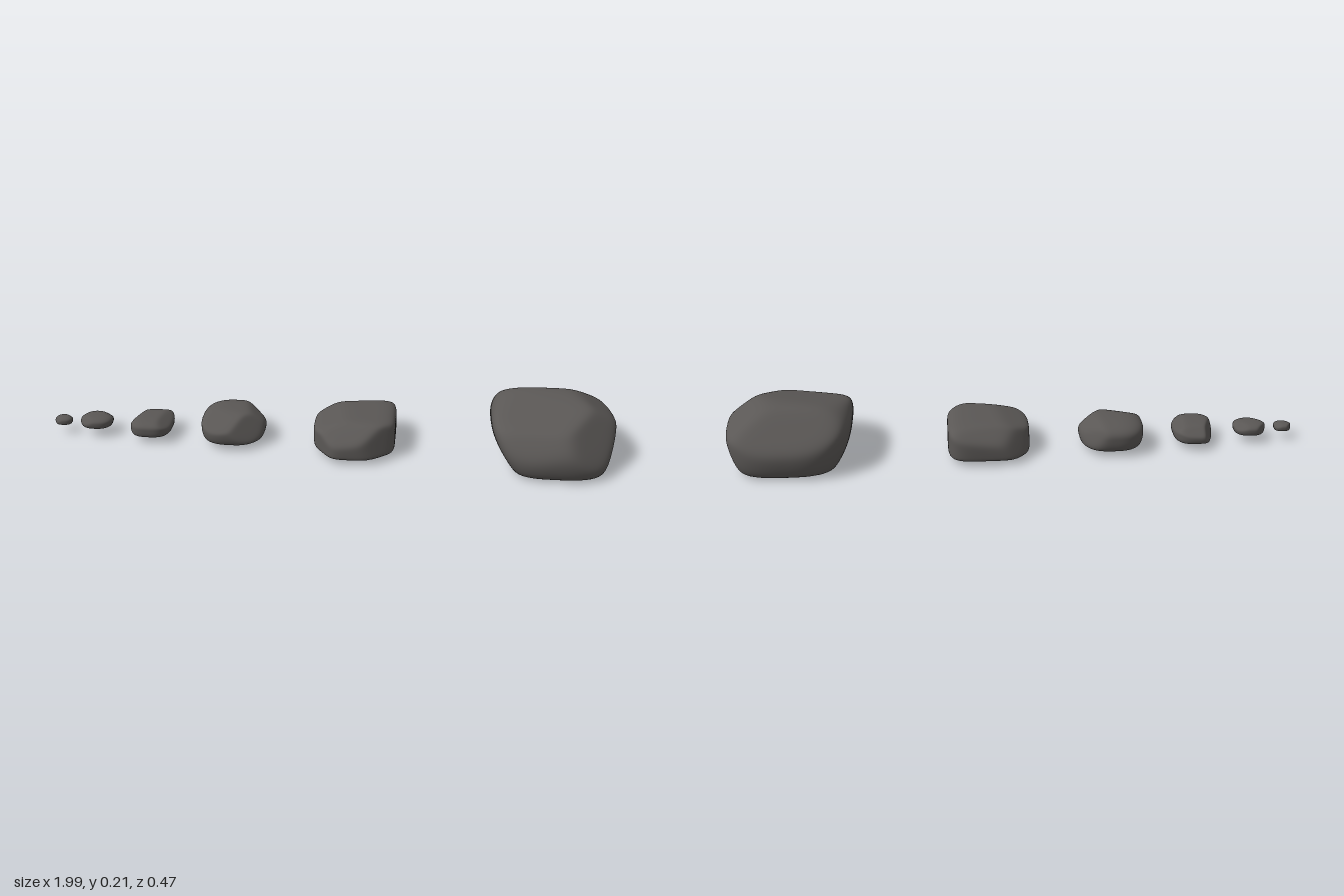
import * as THREE from 'three';
import { mergeVertices } from 'three/addons/utils/BufferGeometryUtils.js';

const SHARPNESS = 16; // higher gives tighter edges between facets
const UNDERCUT = 0.6; // how far the sides draw in towards the base

// Outward facet plane from azimuth (+x towards +z), elevation and distance
function facet([azimuth, elevation, distance]) {
  const a = THREE.MathUtils.degToRad(azimuth);
  const e = THREE.MathUtils.degToRad(elevation);
  return new THREE.Vector3(Math.cos(e) * Math.cos(a), Math.sin(e), Math.cos(e) * Math.sin(a))
    .divideScalar(distance);
}

// A rounded body with a flat base, worn down by softly blended cuts
// (cuts are measured in units of the half size)
function rockGeometry(halfSize, boxiness, cuts) {
  const planes = [[0, -90, 1], ...cuts].map(facet);
  const sphere = new THREE.IcosahedronGeometry(1, 22);
  sphere.deleteAttribute('uv');
  sphere.deleteAttribute('normal');
  const geometry = mergeVertices(sphere, 1e-5);
  const position = geometry.attributes.position;
  const v = new THREE.Vector3();
  for (let i = 0; i < position.count; i++) {
    v.fromBufferAttribute(position, i);
    const rise = v.y > 0 ? v.y : -v.y * UNDERCUT;
    const body = (Math.abs(v.x) ** boxiness + rise ** boxiness + Math.abs(v.z) ** boxiness) ** (1 / boxiness);
    let sum = body ** SHARPNESS;
    for (const plane of planes) sum += Math.max(0, v.dot(plane)) ** SHARPNESS;
    v.multiplyScalar(sum ** (-1 / SHARPNESS)).multiply(halfSize);
    position.setXYZ(i, v.x, v.y, v.z);
  }
  geometry.computeVertexNormals();
  return geometry;
}

export function createModel() {
  const group = new THREE.Group();
  group.name = 'rocks';
  const stone = new THREE.MeshStandardMaterial({ color: 0x5a5755 });
  stone.name = 'dark stone';

  function addRock(name, centre, halfSize, boxiness, cuts) {
    const mesh = new THREE.Mesh(rockGeometry(new THREE.Vector3(...halfSize), boxiness, cuts), stone);
    mesh.name = name;
    mesh.position.set(...centre);
    group.add(mesh);
  }

  // Boulder with undercut ends and a sloping front
  addRock('boulder', [0.782, 0.105, 0], [0.22, 0.107, 0.235], 2.9, [
    [270, 30, 0.85], [110, 61, 0.8], [100, 22, 0.88], [345, 40, 0.95],
    [0, -13, 0.97], [175, -20, 0.97], [47, 20, 0.82],
  ]);

  // Blocky rock with a straight right side
  addRock('largeRock', [0.0925, 0.068, 0.0015], [0.144, 0.056, 0.166], 5, [
    [55, 5, 0.95], [140, 0, 1.02], [228, 10, 0.97], [100, 28, 0.9], [170, 50, 0.93], [262, 25, 0.98],
  ]);

  // Wedge-shaped rock
  addRock('mediumRock', [-0.3425, 0.064, -0.0125], [0.114, 0.049, 0.12], 2.7, [
    [49, 15, 0.77], [319, 10, 0.92], [345, 30, 0.9], [110, 40, 0.84],
  ]);

  // Tapered rock
  addRock('smallRock', [-0.6425, 0.048, -0.01], [0.074, 0.0285, 0.087], 2.9, [
    [203, 10, 0.74], [10, 30, 0.9], [265, 30, 0.92],
  ]);

  // Two rounded stones of the same kind
  const roundedCuts = [[215, 5, 0.88], [130, 20, 0.93], [320, 30, 0.95]];
  addRock('stone', [-0.8475, 0.047, -0.008], [0.058, 0.0205, 0.049], 2.4, roundedCuts);
  addRock('pebble', [-0.97, 0.043, -0.004], [0.031, 0.014, 0.026], 2.4, roundedCuts);
  return group;
}
